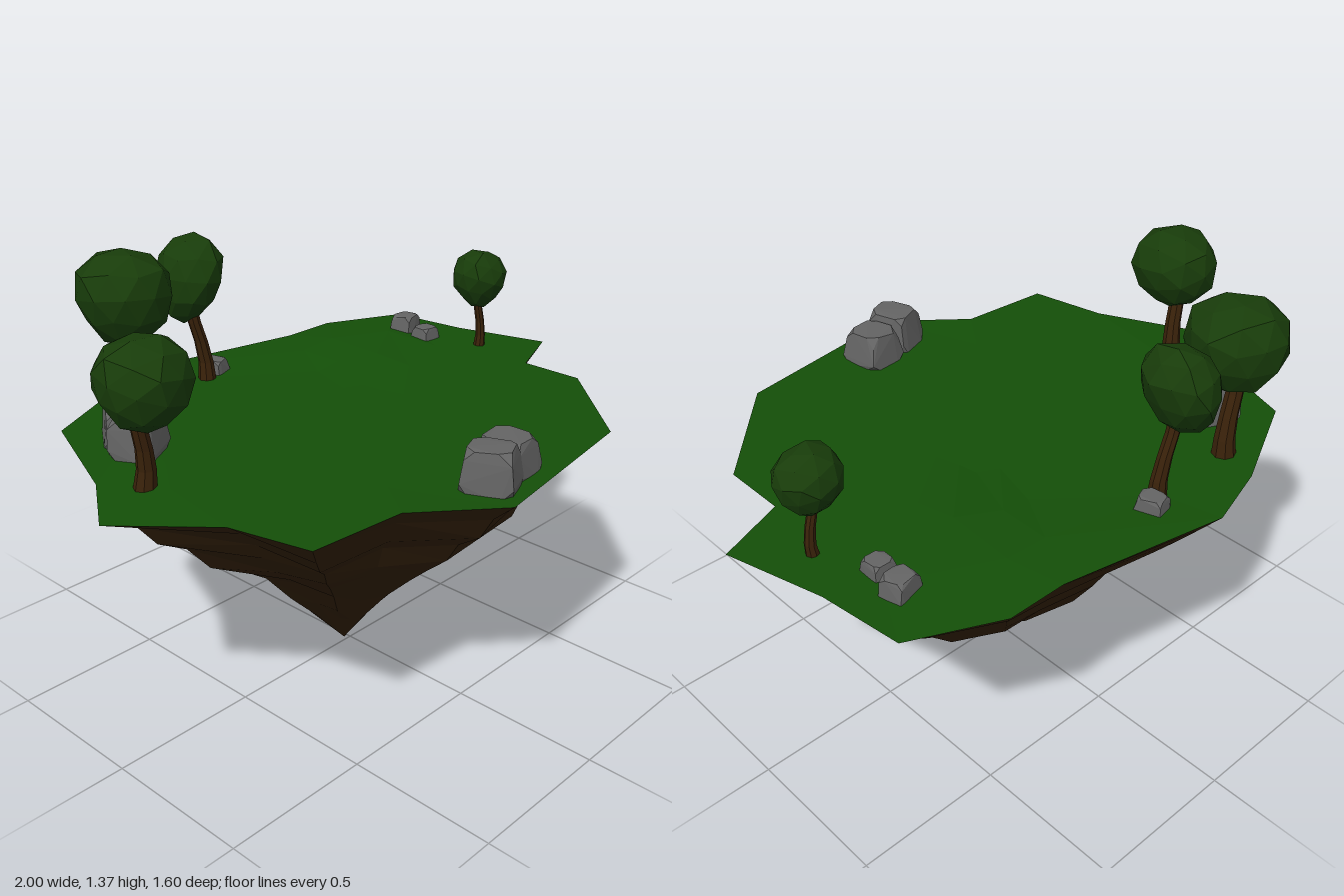
import * as THREE from 'three';
import { ConvexGeometry } from 'three/addons/geometries/ConvexGeometry.js';

const GROUND = 0.855;
const mat = (color) => new THREE.MeshStandardMaterial({ color, flatShading: true, roughness: 1 });

// repeatable value in -1..1 for a position or index
const hash = (a, b = 0, c = 0) => {
  const s = Math.sin(a * 127.1 + b * 311.7 + c * 74.7) * 43758.5453;
  return (s - Math.floor(s)) * 2 - 1;
};

// island rim as [x, z]
const RIM = [
  [-1, 0], [-0.87, -0.19], [-0.73, -0.56], [-0.38, -0.73], [-0.15, -0.8], [0.4, -0.69],
  [0.6, -0.69], [0.875, -0.56], [0.91, -0.28], [1, 0.05], [0.77, 0.14], [0.77, 0.36],
  [0.45, 0.7], [-0.18, 0.795], [-0.42, 0.59], [-0.74, 0.565], [-0.8, 0.3],
];
const rimHeight = (x) => GROUND - 0.03 * THREE.MathUtils.smoothstep(-x, 0.75, 1);

// skin between successive closed rings of points
function loft(rings) {
  const n = rings[0].length;
  const index = [];
  for (let r = 0; r < rings.length - 1; r++) {
    for (let i = 0; i < n; i++) {
      const a = r * n + i, b = r * n + (i + 1) % n;
      index.push(a, b, a + n, b, b + n, a + n);
    }
  }
  const geometry = new THREE.BufferGeometry();
  geometry.setAttribute('position', new THREE.Float32BufferAttribute(rings.flat(2), 3));
  geometry.setIndex(index);
  geometry.computeVertexNormals();
  return geometry;
}

// gently uneven meadow, from the centre out to the rim
function grassGeometry() {
  return loft([0.001, 0.25, 0.5, 0.75, 1].map((s) => RIM.map(([x, z]) => {
    const px = x * s, pz = z * s;
    const mound = 0.032 * Math.exp(-((px - 0.5) ** 2 + (pz + 0.4) ** 2) / 0.05);
    const y = s === 1 ? rimHeight(x) : GROUND - 0.004 + mound + 0.004 * hash(px, pz) * s;
    return [px, y, pz];
  })));
}

// underside: [height, inset towards right, left, front, back]
const LEVELS = [
  [0.78, 0.9, 0.89, 0.9, 0.91], [0.7, 0.8, 0.8, 0.82, 0.83], [0.63, 0.75, 0.72, 0.71, 0.75],
  [0.54, 0.7, 0.62, 0.65, 0.63], [0.47, 0.63, 0.51, 0.55, 0.56], [0.39, 0.4, 0.39, 0.44, 0.5],
  [0.27, 0.25, 0.27, 0.29, 0.39], [0.14, 0.12, 0.14, 0.13, 0.19], [0, 0.001, 0.001, 0.001, 0.001],
];
function dirtGeometry() {
  const n = RIM.length;
  const rings = [RIM.map(([x, z]) => [x, rimHeight(x), z])];
  LEVELS.forEach(([y, right, left, front, back], k) => {
    rings.push(RIM.map(([x, z], i) => {
      const c2 = (x * x) / (x * x + z * z);
      const s = c2 * (x > 0 ? right : left) + (1 - c2) * (z > 0 ? front : back);
      const [ax, az] = RIM[(i + n - 1) % n], [bx, bz] = RIM[(i + 1) % n];
      const round = 0.2 * Math.min(k / 5, 1);
      const rough = y > 0 ? 1 + 0.02 * hash(i, k) : 1;
      return [
        THREE.MathUtils.lerp(x, (ax + bx) / 2, round) * s * rough - 0.015 * (1 - y / GROUND),
        y + (y > 0 ? 0.01 * hash(k, i, 3) : 0),
        THREE.MathUtils.lerp(z, (az + bz) / 2, round) * s * rough - 0.015 * (1 - y / GROUND),
      ];
    }));
  });
  return loft(rings);
}

// trunk bends between base and crown; the crown is a faceted, top-heavy ball
function makeTree({ base, top, radius, crown, size, skew, seed }, bark, leaves) {
  const tree = new THREE.Group();
  tree.name = 'tree';

  const height = top[1] - GROUND + 0.04;
  const trunkGeometry = new THREE.CylinderGeometry(radius, radius, height, 8, 4);
  const p = trunkGeometry.attributes.position;
  for (let i = 0; i < p.count; i++) {
    const t = p.getY(i) / height + 0.5;
    const flare = 1 + 0.45 * (1 - t) ** 3;
    const bend = 0.01 * Math.sin(t * Math.PI * 1.6);
    p.setXYZ(i,
      p.getX(i) * flare + THREE.MathUtils.lerp(base[0], top[0], t) + bend,
      GROUND - 0.02 + t * height,
      p.getZ(i) * flare + THREE.MathUtils.lerp(base[1], top[2], t));
  }
  const trunk = new THREE.Mesh(trunkGeometry, bark);
  trunk.name = 'trunk';

  const crownGeometry = new THREE.IcosahedronGeometry(1, 1);
  crownGeometry.rotateY(seed).rotateX(seed * 0.7);
  const q = crownGeometry.attributes.position;
  for (let i = 0; i < q.count; i++) {
    const [x, y, z] = [q.getX(i), q.getY(i), q.getZ(i)];
    const key = [x, y, z].map((v) => Math.round(v * 50));
    const s = 1 + 0.05 * hash(key[0] + seed, key[1], key[2]);
    const taper = 1 + 0.16 * y;
    q.setXYZ(i, (x * taper * s + skew * y) * size[0], y * s * size[1], z * taper * s * size[2]);
  }
  const foliage = new THREE.Mesh(crownGeometry, leaves);
  foliage.name = 'foliage';
  foliage.position.set(...crown);
  tree.add(trunk, foliage);
  return tree;
}

// boulder: hull of a box that narrows upwards, every corner cut off unevenly
function makeRock([x, z, w, h, d, turn], seed, material) {
  const points = [];
  for (let i = 0; i < 8; i++) {
    const corner = [i & 1 ? 1 : -1, i & 2 ? 1 : -1, i & 4 ? 1 : -1];
    for (let cut = 0; cut < 3; cut++) {
      const v = corner.map((c, k) => c * (1 - (k === cut ? 0.5 : 0.08) - 0.08 * hash(i, k + cut * 3, seed)));
      const narrow = 0.93 - 0.1 * v[1];
      points.push(new THREE.Vector3(v[0] * narrow * w / 2, (v[1] + 1) * h / 2, v[2] * narrow * d / 2));
    }
  }
  const rock = new THREE.Mesh(new ConvexGeometry(points), material);
  rock.name = 'rock';
  rock.position.set(x, GROUND - 0.018, z);
  rock.rotation.y = turn;
  return rock;
}

export function createModel() {
  const model = new THREE.Group();
  model.name = 'floatingIsland';
  const bark = mat(0x3a220a), leaves = mat(0x183c0a), stone = mat(0x646464);

  const grass = new THREE.Mesh(grassGeometry(), mat(0x144f08));
  grass.name = 'grass';
  const dirt = new THREE.Mesh(dirtGeometry(), mat(0x322008));
  dirt.name = 'dirt';
  model.add(grass, dirt);

  // trees
  [
    { base: [-0.785, -0.07], top: [-0.8, 1.08, -0.05], radius: 0.025, crown: [-0.79, 1.17, -0.045], size: [0.142, 0.142, 0.15], skew: 0, seed: 1 },
    { base: [-0.42, -0.59], top: [-0.45, 1.12, -0.58], radius: 0.028, crown: [-0.44, 1.225, -0.57], size: [0.157, 0.16, 0.16], skew: 0, seed: 2 },
    { base: [-0.1, -0.59], top: [-0.145, 1.12, -0.6], radius: 0.022, crown: [-0.14, 1.215, -0.615], size: [0.108, 0.15, 0.125], skew: 0.2, seed: 3 },
    { base: [0.815, -0.11], top: [0.805, 1.04, -0.11], radius: 0.015, crown: [0.808, 1.107, -0.115], size: [0.102, 0.105, 0.094], skew: 0, seed: 4 },
  ].forEach((t) => model.add(makeTree(t, bark, leaves)));

  // rocks: x, z, width, height, depth, turn
  [
    [-0.585, -0.375, 0.2, 0.15, 0.26, -0.6], [-0.655, -0.265, 0.15, 0.145, 0.16, 0.5],
    [-0.115, 0.66, 0.15, 0.15, 0.17, 0.4], [0.01, 0.625, 0.16, 0.128, 0.17, 0.1],
    [0.745, -0.41, 0.1, 0.085, 0.09, 0.2], [0.732, -0.3, 0.085, 0.065, 0.085, 0],
    [-0.04, -0.625, 0.08, 0.062, 0.1, 0.3],
  ].forEach((r, i) => model.add(makeRock(r, i + 1, stone)));

  return model;
}
